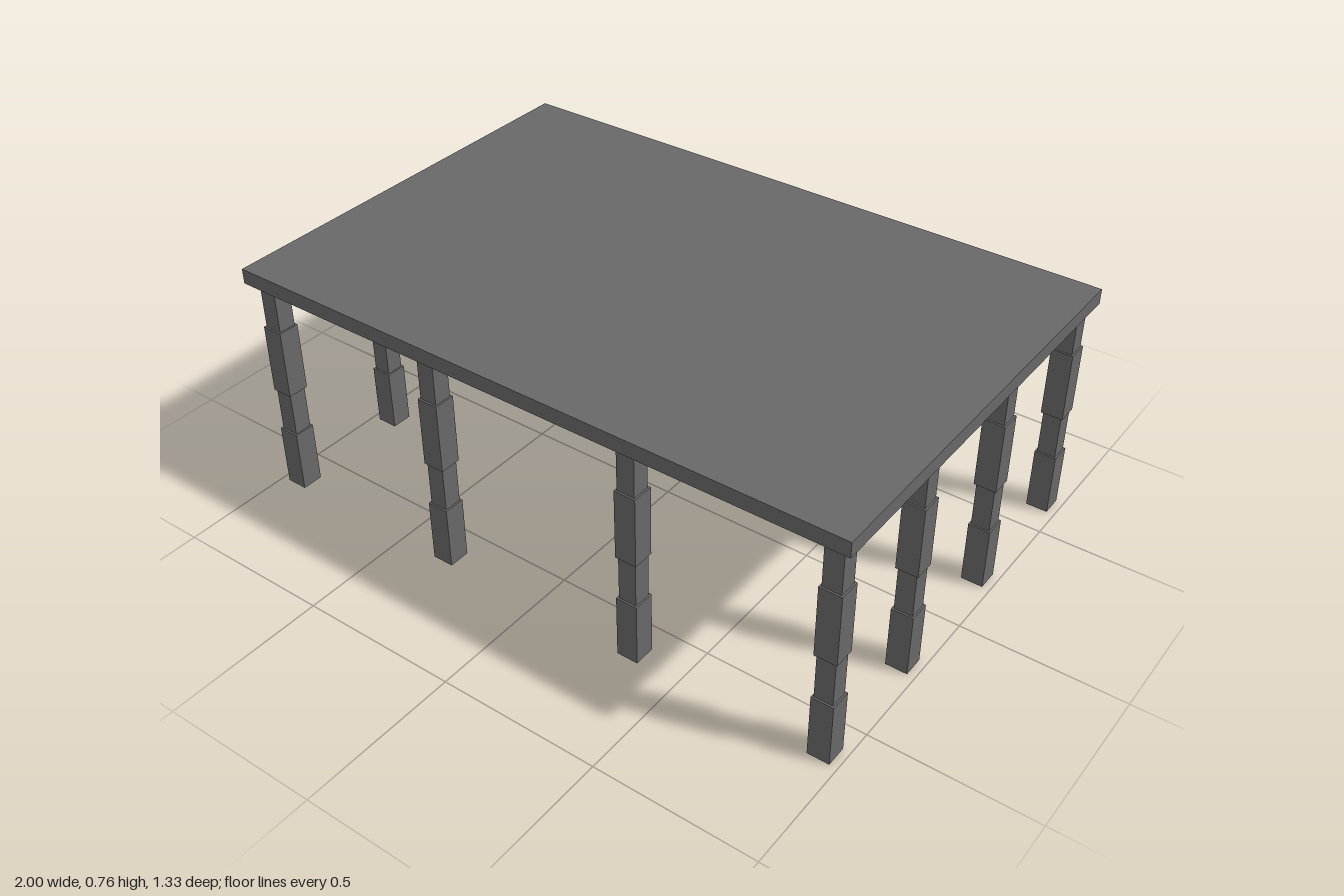
import * as THREE from 'three';

export function createModel() {
  const model = new THREE.Group();
  model.name = 'table';
  const grey = new THREE.MeshStandardMaterial({ color: 0x686868 });
  grey.name = 'dark grey';

  // A box given by its bottom and top heights
  function block(name, width, depth, bottom, top) {
    const mesh = new THREE.Mesh(new THREE.BoxGeometry(width, top - bottom, depth), grey);
    mesh.name = name;
    mesh.position.y = (bottom + top) / 2;
    return mesh;
  }

  model.add(block('tableTop', 2, 1.334, 0.713, 0.76));

  // Square leg with stepped sections: [name, width, bottom, top]
  const sections = [
    ['foot', 0.067, 0, 0.2],
    ['lowerNeck', 0.056, 0.2, 0.342],
    ['middleBlock', 0.067, 0.342, 0.563],
    ['upperNeck', 0.056, 0.563, 0.705],
    ['legCap', 0.064, 0.705, 0.713],
  ];

  // Legs stand around the edge only, four along each side
  const xs = [-0.942, -0.336, 0.336, 0.942];
  const zs = [-0.63, -0.214, 0.216, 0.61];
  xs.forEach((x, i) => zs.forEach((z, j) => {
    const inside = i % 3 !== 0 && j % 3 !== 0;
    if (inside) return;
    const leg = new THREE.Group();
    leg.name = 'leg';
    for (const [name, width, bottom, top] of sections) {
      leg.add(block(name, width, width, bottom, top));
    }
    leg.position.set(x, 0, z);
    model.add(leg);
  }));

  return model;
}
